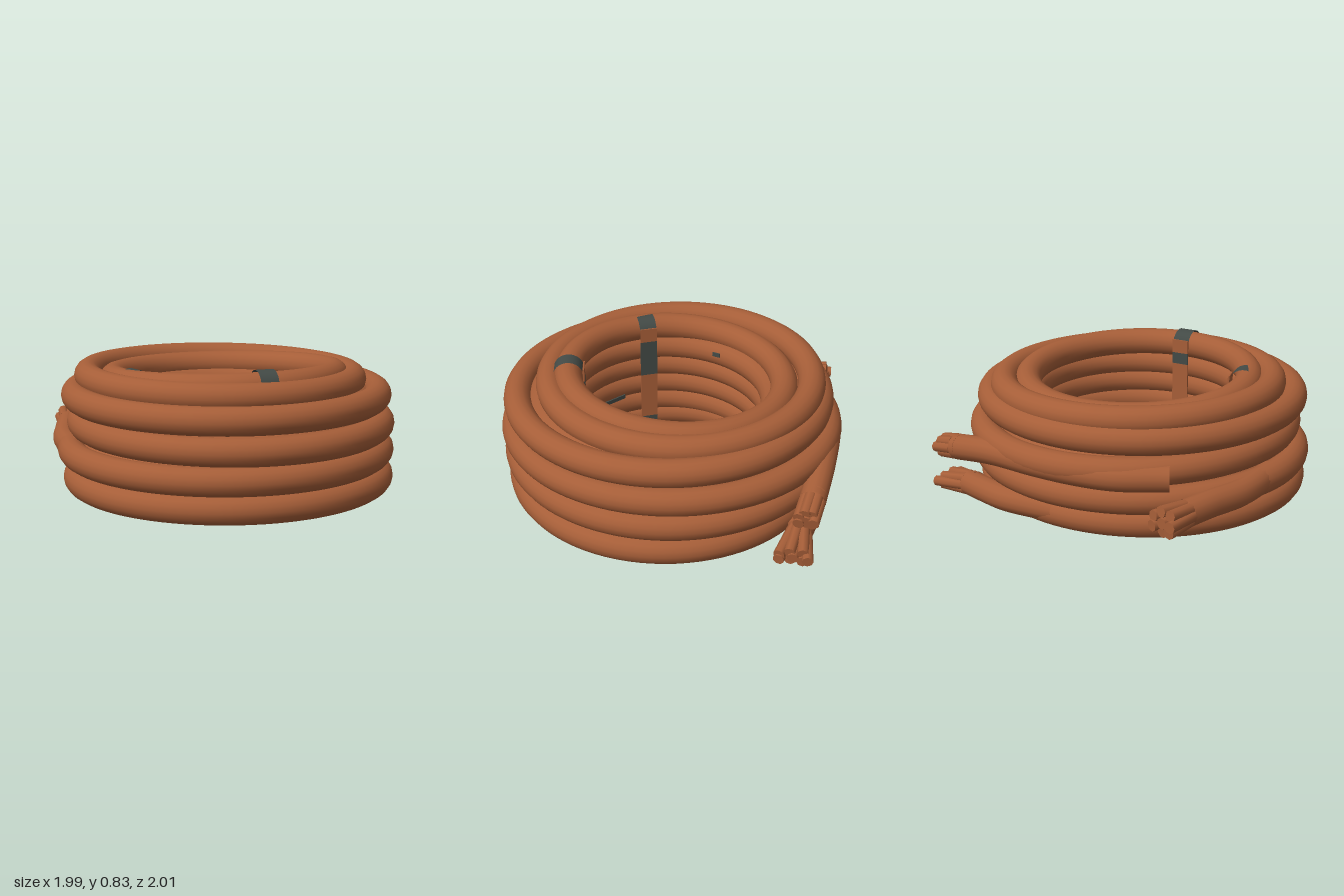
import * as THREE from 'three';

const cableMat = new THREE.MeshStandardMaterial({ color: 0xa65e38, side: THREE.DoubleSide });
cableMat.name = 'copper brown rubber';
const strapMat = new THREE.MeshStandardMaterial({ color: 0x434a46, side: THREE.DoubleSide });
strapMat.name = 'dark grey strap';

const R = 0.08; // cable radius
const V = (x, y, z) => new THREE.Vector3(x, y, z);

function add(parent, name, geometry, material) {
  const mesh = new THREE.Mesh(geometry, material);
  mesh.name = name;
  parent.add(mesh);
  return mesh;
}

// One turn of cable; tiltZ raises its front, tiltX raises its +x side
function turn(parent, name, [cx, cz, rx, rz, y, tiltZ = 0, tiltX = 0]) {
  const points = [];
  for (let i = 0; i < 32; i++) {
    const a = i / 32 * Math.PI * 2;
    const s = Math.sin(a), c = Math.cos(a);
    points.push(V(cx + s * rx, y + c * tiltZ + s * tiltX, cz + c * rz));
  }
  const curve = new THREE.CatmullRomCurve3(points, true);
  add(parent, name, new THREE.TubeGeometry(curve, 90, R, 16, true), cableMat);
}

// Straight rod with closed ends
function rod(parent, name, from, to, r0, r1, sides = 8) {
  const dir = to.clone().sub(from);
  const mesh = add(parent, name, new THREE.CylinderGeometry(r1, r0, dir.length(), sides), cableMat);
  mesh.position.copy(from).addScaledVector(dir, 0.5);
  mesh.quaternion.setFromUnitVectors(V(0, 1, 0), dir.normalize());
}

// Loose cable end: sheath, then a fan of bare strands
function looseEnd(parent, name, path, tip, spreadSide, spreadUp) {
  const group = new THREE.Group();
  group.name = name;
  parent.add(group);
  const curve = new THREE.CatmullRomCurve3(path);
  add(group, 'sheath', new THREE.TubeGeometry(curve, 50, 0.075, 14), cableMat);
  const end = path[path.length - 1];
  const dir = tip.clone().sub(end).normalize();
  const side = V(0, 1, 0).cross(dir).normalize();
  const up = dir.clone().cross(side);
  rod(group, 'core', end.clone().addScaledVector(dir, -0.05), end.clone().addScaledVector(dir, 0.05), 0.074, 0.055, 14);
  for (let i = 0; i < 8; i++) {
    const a = i * Math.PI * 2 / 7;
    const s = i === 7 ? 0 : 1;
    const off = (u, v) => side.clone().multiplyScalar(Math.cos(a) * u * s).addScaledVector(up, Math.sin(a) * v * s);
    const to = tip.clone().add(off(spreadSide, spreadUp)).addScaledVector(dir, -0.03 * ((i * 3) % 4) / 3);
    rod(group, 'strand', end.clone().add(off(0.042, 0.042)), to, 0.034, 0.032);
  }
}

// Strap looped over the top turn, down the inner wall and under the bottom turn
function strap(parent, name, angle, rc, top, bands) {
  const group = new THREE.Group();
  group.name = name;
  group.rotation.y = angle;
  parent.add(group);
  const width = 0.105, r = R + 0.009;
  const hook = (label, y, start, length) => {
    const g = new THREE.CylinderGeometry(r, r, width, 16, 1, true, start, length);
    g.rotateZ(Math.PI / 2);
    add(group, label, g, strapMat).position.set(0, y, rc);
  };
  hook('topLoop', top, -0.5, Math.PI + 0.1);
  hook('bottomLoop', 0.09, Math.PI, 1.5);
  for (const [y0, y1, material] of bands) {
    const g = new THREE.BoxGeometry(width, y1 - y0, 0.009);
    add(group, 'innerBand', g, material).position.set(0, (y0 + y1) / 2, rc - r);
  }
}

// Small scrap of strap showing between turns of the inner wall
function scrap(parent, angle, radius, y, width, height) {
  const mesh = add(parent, 'strapScrap', new THREE.BoxGeometry(width, height, 0.009), strapMat);
  mesh.position.set(Math.sin(angle) * radius, y, Math.cos(angle) * radius);
  mesh.rotation.y = angle;
}

export function createModel() {
  const model = new THREE.Group();
  model.name = 'cableCoil';

  // Outer wall
  [
    [0.005, 0.035, 0.9, 0.86, 0.125],
    [-0.005, 0.01, 0.915, 0.905, 0.285],
    [0.025, 0, 0.885, 0.92, 0.445],
    [-0.005, 0.02, 0.89, 0.885, 0.61],
  ].forEach((t) => turn(model, 'outerTurn', t));

  // Top spiral
  turn(model, 'upperTurn', [-0.02, -0.05, 0.785, 0.765, 0.698, 0, -0.014]);
  turn(model, 'topTurn', [-0.005, -0.025, 0.655, 0.63, 0.7, 0.037]);

  // Turns packed between the two walls
  turn(model, 'middleTurn', [0, 0.01, 0.75, 0.72, 0.107, -0.02]);
  [0.27, 0.43, 0.58].forEach((y) => turn(model, 'middleTurn', [0, 0, 0.78, 0.765, y]));

  // Inner wall
  [0.58, 0.46, 0.335, 0.21].forEach((y) => turn(model, 'innerTurn', [0.015, 0.015, 0.65, 0.615, y, 0.015]));
  turn(model, 'bottomTurn', [0.015, 0.015, 0.65, 0.615, 0.105, -0.02]);

  // Loose ends leaving the coil at the back
  looseEnd(model, 'rightEnd',
    [V(-0.9, 0.29, -0.05), V(-0.9, 0.29, -0.38), V(-0.85, 0.3, -0.62), V(-0.81, 0.3, -0.8)],
    V(-0.77, 0.3, -0.99), 0.066, 0.06);
  looseEnd(model, 'upperLeftEnd',
    [V(-0.64, 0.42, -0.69), V(-0.4, 0.42, -0.835), V(-0.2, 0.425, -0.895), V(0.05, 0.43, -0.922),
      V(0.4, 0.41, -0.875), V(0.73, 0.35, -0.8)],
    V(0.89, 0.315, -0.755), 0.045, 0.04);
  looseEnd(model, 'lowerLeftEnd',
    [V(0, 0.14, -0.83), V(0.35, 0.13, -0.84), V(0.55, 0.12, -0.79), V(0.7, 0.11, -0.74)],
    V(0.915, 0.085, -0.695), 0.085, 0.03);

  // Straps
  strap(model, 'frontStrap', Math.atan2(0.04, 0.6), 0.602, 0.739, [
    [0.7, 0.782, cableMat], [0.63, 0.7, strapMat], [0.17, 0.63, cableMat], [0.09, 0.17, strapMat],
  ]);
  strap(model, 'sideStrap', Math.atan2(-0.95, 0.31), 0.63, 0.705, [
    [0.66, 0.748, cableMat], [0.43, 0.66, strapMat], [0.13, 0.43, cableMat], [0.09, 0.13, strapMat],
  ]);
  scrap(model, Math.atan2(-0.395, 0.369), 0.55, 0.3, 0.16, 0.025);
  scrap(model, Math.atan2(-0.475, -0.254), 0.535, 0.6, 0.05, 0.025);

  return model;
}
